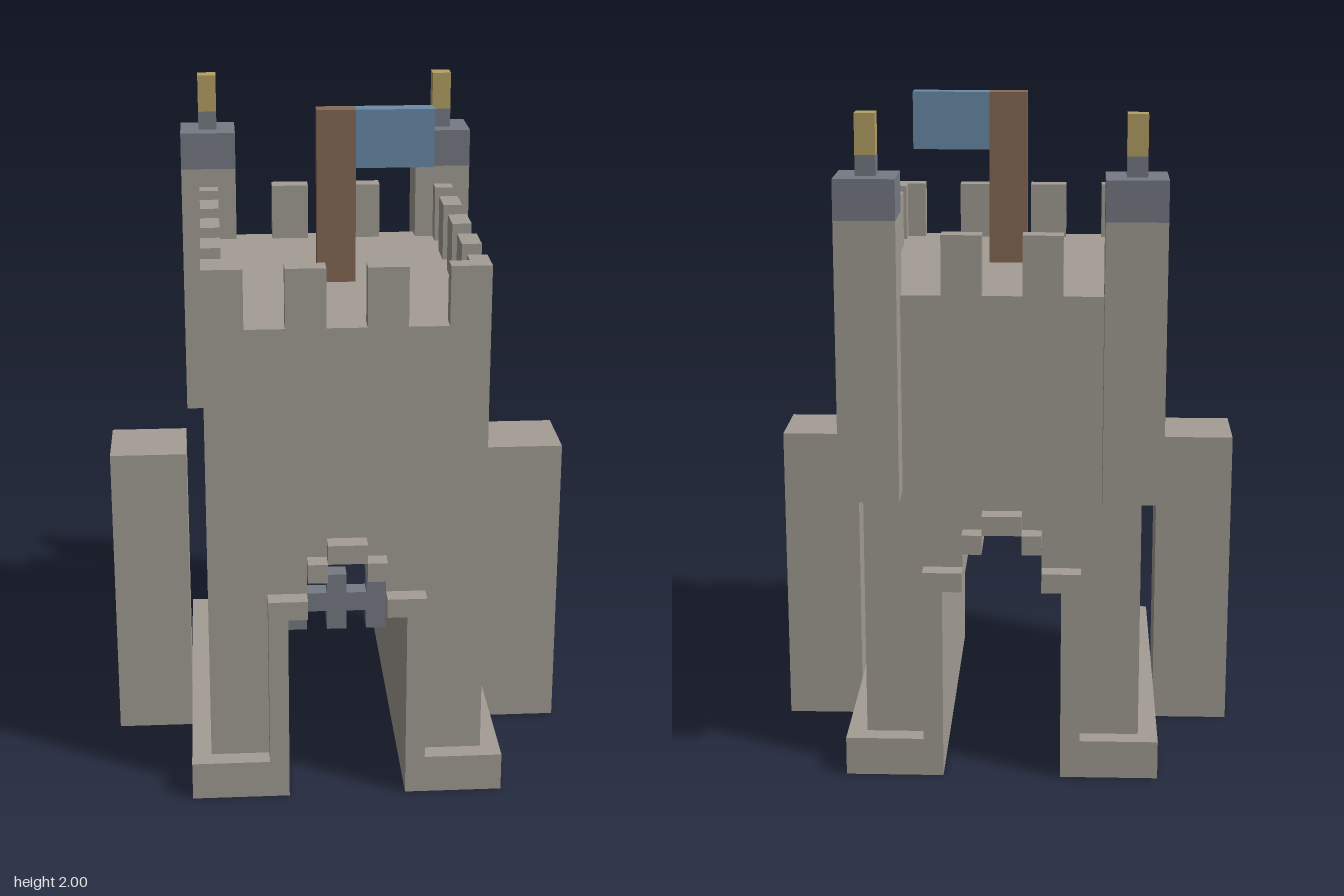
import * as THREE from 'three';

const U = 2 / 34; // one block

export function createModel() {
  const mat = (name, color) => {
    const m = new THREE.MeshStandardMaterial({ color, side: THREE.DoubleSide, flatShading: true });
    m.name = name;
    return m;
  };
  const stone = mat('stone', 0xa39d95);
  const slate = mat('slate', 0x767b84);
  const gold = mat('gold', 0xb5a165);
  const wood = mat('wood', 0x866a55);
  const cloth = mat('blue cloth', 0x6a8caa);

  const root = new THREE.Group();
  root.name = 'castleKeep';
  const blocks = new THREE.Group();
  blocks.name = 'blocks';
  blocks.scale.setScalar(U);
  root.add(blocks);

  const add = (name, geo, material, parent = blocks) => {
    const mesh = new THREE.Mesh(geo, material);
    mesh.name = name;
    parent.add(mesh);
    return mesh;
  };
  const group = (name) => {
    const g = new THREE.Group();
    g.name = name;
    blocks.add(g);
    return g;
  };
  // Box between two corners, in block units
  const boxGeo = (x0, x1, y0, y1, z0, z1) =>
    new THREE.BoxGeometry(Math.abs(x1 - x0), y1 - y0, z1 - z0)
      .translate((x0 + x1) / 2, (y0 + y1) / 2, (z0 + z1) / 2);
  // Removes the horizontal faces lying at the given heights
  const openAt = (geo, ...levels) => {
    const src = geo.index ? geo.toNonIndexed() : geo;
    const p = src.attributes.position;
    const keep = [];
    for (let i = 0; i < p.count; i += 3) {
      const flat = levels.some((l) => [0, 1, 2].every((k) => Math.abs(p.getY(i + k) - l) < 1e-4));
      if (flat) continue;
      for (let k = 0; k < 3; k++) keep.push(p.getX(i + k), p.getY(i + k), p.getZ(i + k));
    }
    const out = new THREE.BufferGeometry();
    out.setAttribute('position', new THREE.Float32BufferAttribute(keep, 3));
    out.computeVertexNormals();
    return out;
  };
  const shape = (pts) => new THREE.Shape(pts.map(([x, y]) => new THREE.Vector2(x, y)));

  // Keep with a stepped gate passage running right through
  const half = [[7, 25], [7, 2], [3, 2], [3, 10], [2, 10], [2, 12], [1, 12], [1, 13]];
  const outline = [...half, ...half.slice().reverse().map(([x, y]) => [-x, y])];
  const keep = new THREE.ExtrudeGeometry(shape(outline), { depth: 18, bevelEnabled: false });
  add('keep', openAt(keep.translate(0, 0, -8.5), 2), stone);

  // Plinth halves: open walls with a ledge round the keep
  const ledge = [[3, -9.5], [8, -9.5], [8, 10.5], [3, 10.5], [3, 9.5], [7, 9.5], [7, -8.5], [3, -8.5]];
  for (const s of [1, -1]) {
    const side = s > 0 ? 'left' : 'right';
    const plinth = group(side + 'Plinth');
    add('plinthWalls', openAt(boxGeo(s * 3, s * 8, 0, 2, -9.5, 10.5), 0, 2), stone, plinth);
    const top = new THREE.ShapeGeometry(shape(ledge.map(([x, z]) => [s * x, -z])));
    add('plinthLedge', top.rotateX(-Math.PI / 2).translate(0, 2, 0), stone, plinth);

    // Side buttress
    add(side + 'Buttress', openAt(boxGeo(s * 8, s * 12, 0, 16, -1.5, 2.5), 0), stone);

    // Hanging rear turret with cap and finial
    const turret = group(side + 'Turret');
    add('turretShaft', openAt(boxGeo(s * 5, s * 8, 15, 29, -10.5, -7.5), 29), stone, turret);
    add('turretCap', openAt(boxGeo(s * 5, s * 8, 29, 31, -10.5, -7.5), 29), slate, turret);
    add('finialBase', boxGeo(s * 6, s * 7, 31, 32, -9.5, -8.5), slate, turret);
    add('finialTip', boxGeo(s * 6, s * 7, 32, 34, -9.5, -8.5), gold, turret);
  }

  // Raised stones round both gate openings
  for (const [name, z] of [['frontArch', 9.5], ['backArch', -9.5]]) {
    const arch = group(name);
    for (const s of [1, -1]) {
      const jamb = [[3, 2], [4, 2], [4, 11], [2, 11], [2, 10], [3, 10]].map(([x, y]) => [s * x, y]);
      const geo = new THREE.ExtrudeGeometry(shape(jamb), { depth: 1, bevelEnabled: false });
      add('archJamb', openAt(geo.translate(0, 0, z), 2), stone, arch);
      add('archStone', boxGeo(s, s * 2, 12, 13, z, z + 1), stone, arch);
    }
    add('keystone', boxGeo(-1, 1, 13, 14, z, z + 1), stone, arch);
  }

  // Raised portcullis
  const gate = group('portcullis');
  add('gateCrossbar', boxGeo(-2, 2, 10, 11, 8.5, 9.5), slate, gate);
  for (const x of [-3, -1, 1]) add('gateSpike', boxGeo(x, x + 1, 9, 10, 8.5, 9.5), slate, gate);
  for (const x of [-1, 1]) add('gateBar', boxGeo(x, x + 1, 11, 12, 8.5, 9.5), slate, gate);

  // Battlements
  const merlons = group('battlements');
  for (const x of [-7, -3, 1, 5])
    for (const z of [-8.5, 8.5])
      add('merlon', boxGeo(x, x + 2, 25, 28, z, z + 1), stone, merlons);
  for (const z of [-8.5, -4.5, -0.5, 3.5, 7.5])
    for (const x of [-7, 6])
      add('merlon', boxGeo(x, x + 1, 25, 28, z, z + 2), stone, merlons);

  // Flag
  add('flagPole', boxGeo(-1, 1, 25, 34, 0.5, 1.5), wood);
  add('flag', boxGeo(1, 5, 31, 34, 0.5, 1.5), cloth);

  return root;
}
